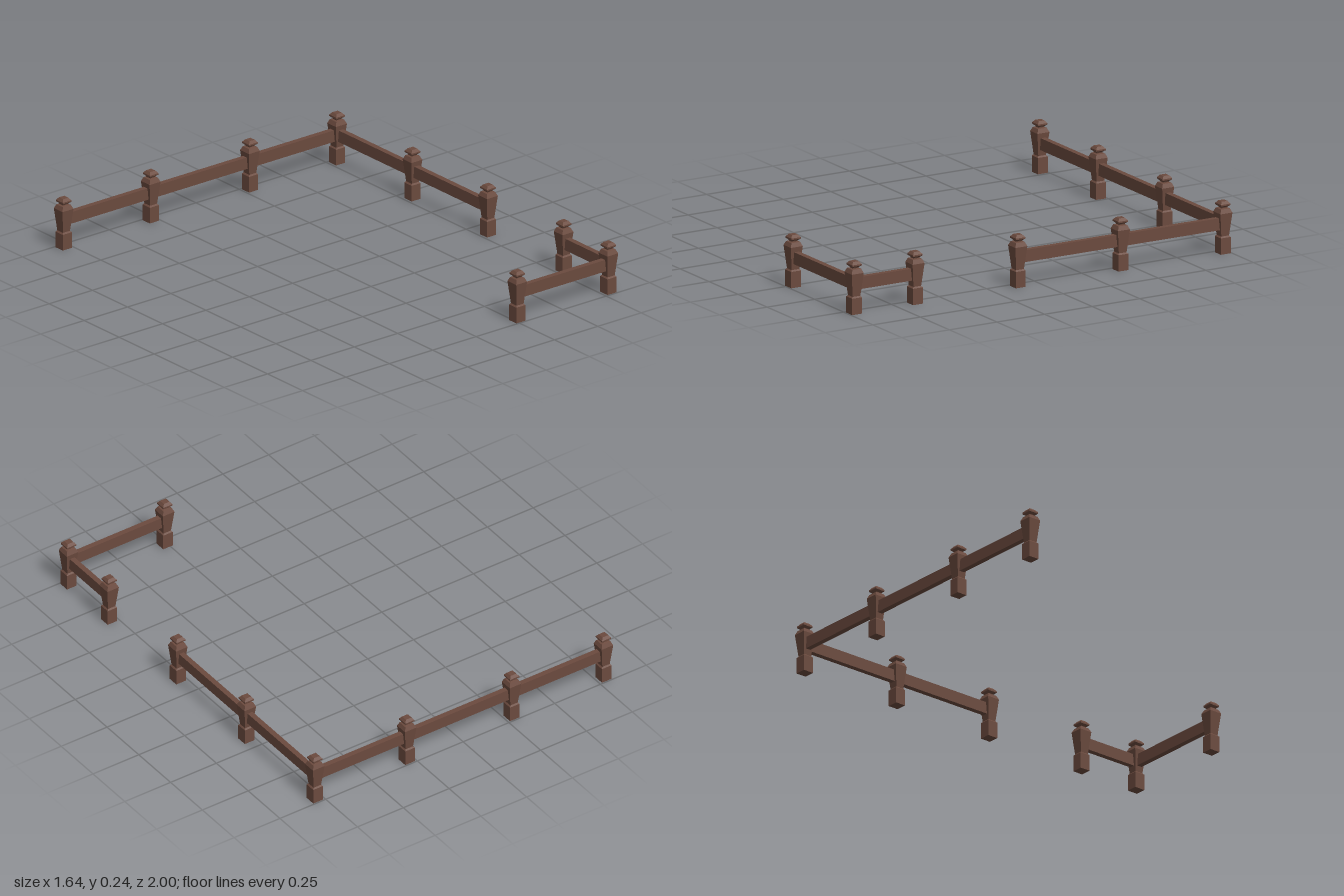
import * as THREE from 'three';

const wood = new THREE.MeshStandardMaterial({ color: 0x6b4a3e, flatShading: true });

// Square-section turned solid from [half width, height] pairs, bottom to top
function squareLathe(profile) {
  const points = profile.map(([h, y]) => new THREE.Vector2(h * Math.SQRT2, y));
  return new THREE.LatheGeometry(points, 4, Math.PI / 4);
}

const baseGeometry = squareLathe([[0, 0], [0.026, 0], [0.026, 0.076], [0.02, 0.083], [0, 0.083]]);
const shaftGeometry = squareLathe([[0, 0.08], [0.02, 0.08], [0.0315, 0.19], [0.023, 0.209], [0.013, 0.212], [0, 0.212]]);
const knobGeometry = squareLathe([[0, 0.209], [0.013, 0.209], [0.015, 0.216], [0.025, 0.224], [0.025, 0.231], [0.015, 0.243], [0, 0.243]]);

function makePost(x, z) {
  const post = new THREE.Group();
  post.name = 'fencePost';
  for (const [name, geometry] of [['postBase', baseGeometry], ['postShaft', shaftGeometry], ['postKnob', knobGeometry]]) {
    const mesh = new THREE.Mesh(geometry, wood);
    mesh.name = name;
    post.add(mesh);
  }
  post.position.set(x, 0, z);
  return post;
}

// Horizontal rail between two neighbouring posts
function makeRail([x1, z1], [x2, z2]) {
  const length = Math.hypot(x2 - x1, z2 - z1);
  const rail = new THREE.Mesh(new THREE.BoxGeometry(length, 0.056, 0.026), wood);
  rail.name = 'fenceRail';
  rail.position.set((x1 + x2) / 2, 0.139, (z1 + z2) / 2);
  rail.rotation.y = -Math.atan2(z2 - z1, x2 - x1);
  return rail;
}

export function createModel() {
  const group = new THREE.Group();
  group.name = 'fence';
  const X = 0.788, Z = 0.9685;
  // Two fence runs with a gateway between them
  const runs = {
    longFence: [[-X, -Z], [-0.286, -Z], [0.286, -Z], [X, -Z], [X, -0.43], [X, 0.109]],
    shortFence: [[X, 0.649], [X, Z], [0.263, Z]],
  };
  for (const [name, spots] of Object.entries(runs)) {
    const run = new THREE.Group();
    run.name = name;
    spots.forEach((spot, i) => {
      run.add(makePost(...spot));
      if (i > 0) run.add(makeRail(spots[i - 1], spot));
    });
    group.add(run);
  }
  return group;
}
